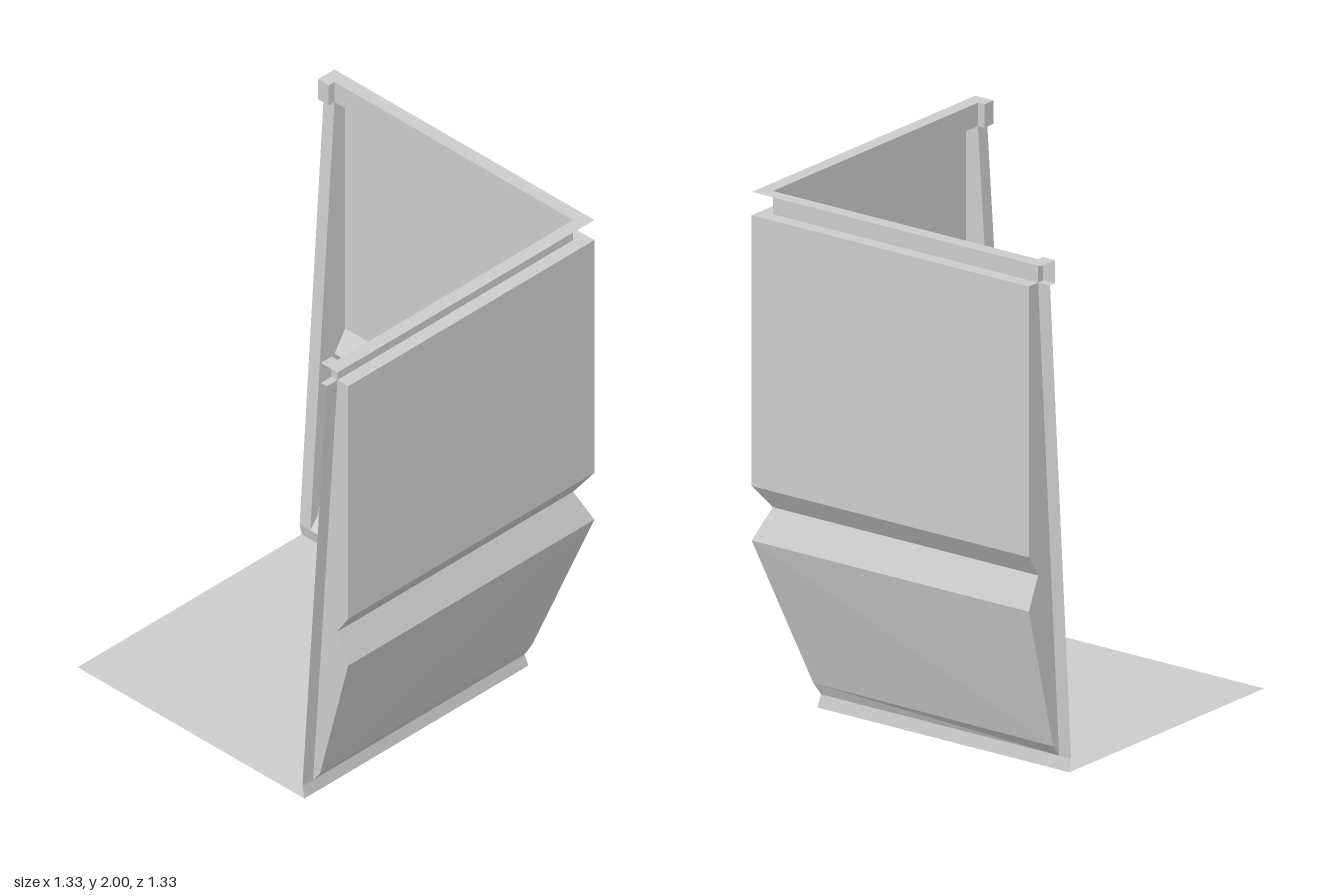
import * as THREE from 'three';

const END = -0.665;   // free end of each wing
const STOP = -0.61;   // where the panel ends and the end post begins

// Panel section, bottom to top: [offset at free end, height, offset at corner]
const panelSection = [
  [0.485, 0.05, 0.485], [0.52, 0.095, 0.505], [0.665, 0.655, 0.665],
  [0.61, 0.78, 0.61], [0.665, 0.865, 0.665], [0.665, 1.91, 0.665], [0.61, 1.91, 0.61],
];
const upstandSection = [[0.61, 1.91, 0.61], [0.61, 2, 0.61]];
const flangeSection = [[0.61, 2, 0.61], [0.665, 2, 0.665]];
const lipSection = [[0.495, 0, 0.495], [0.485, 0.05, 0.485]];
const postSection = [[0.485, 0.05], [0.61, 1.91], [0.58, 1.91], [0.58, 2], [0.665, 2]];

export function createModel() {
  const group = new THREE.Group();
  const grey = new THREE.MeshStandardMaterial({ color: 0xcccccc, side: THREE.DoubleSide });
  grey.name = 'plain grey';

  // Flat-shaded mesh from triangles; the other wing swaps x and z
  const addMesh = (name, tris, swap, parent) => {
    const pos = [];
    for (const t of tris) {
      const pts = swap ? [t[0], t[2], t[1]] : t;
      for (const [x, y, z] of pts) pos.push(...(swap ? [z, y, x] : [x, y, z]));
    }
    const geo = new THREE.BufferGeometry();
    geo.setAttribute('position', new THREE.Float32BufferAttribute(pos, 3));
    geo.computeVertexNormals();
    const mesh = new THREE.Mesh(geo, grey);
    mesh.name = name;
    parent.add(mesh);
  };

  // Sheet running from a free end to the mitred corner
  const mitredSheet = (section, zStart) => {
    const tris = [];
    for (let i = 0; i + 1 < section.length; i++) {
      const [e0, y0, c0] = section[i], [e1, y1, c1] = section[i + 1];
      const a = [e0, y0, zStart], b = [e1, y1, zStart], c = [c1, y1, c1], d = [c0, y0, c0];
      tris.push([a, b, c], [a, c, d]);
    }
    return tris;
  };

  // Short straight sheet between two z positions
  const straightSheet = (section, z0, z1) => {
    const tris = [];
    for (let i = 0; i + 1 < section.length; i++) {
      const [x0, y0] = section[i], [x1, y1] = section[i + 1];
      const a = [x0, y0, z0], b = [x1, y1, z0], c = [x1, y1, z1], d = [x0, y0, z1];
      tris.push([a, b, c], [a, c, d]);
    }
    return tris;
  };

  // Flat closure facing the free end
  const cap = (outline, z) => {
    const pts = outline.map(([x, y]) => new THREE.Vector2(x, y));
    return THREE.ShapeUtils.triangulateShape(pts, [])
      .map(([a, b, c]) => [a, c, b].map((i) => [pts[i].x, pts[i].y, z]));
  };

  for (const swap of [false, true]) {
    const wing = new THREE.Group();
    wing.name = swap ? 'frontWing' : 'leftWing';
    addMesh('panel', mitredSheet(panelSection, STOP), swap, wing);
    addMesh('topUpstand', mitredSheet(upstandSection, STOP), swap, wing);
    addMesh('topFlange', mitredSheet(flangeSection, STOP), swap, wing);
    addMesh('baseLip', mitredSheet(lipSection, END), swap, wing);
    addMesh('endPost', straightSheet(postSection, END, STOP), swap, wing);
    addMesh('panelEndCap', cap(panelSection, STOP), swap, wing);
    addMesh('upstandEndCap', cap([[0.58, 1.91], [0.61, 1.91], [0.61, 2], [0.58, 2]], STOP), swap, wing);
    group.add(wing);
  }

  // Square floor sheet
  const floor = new THREE.Mesh(new THREE.PlaneGeometry(1.16, 1.16), grey);
  floor.name = 'floor';
  floor.rotation.x = -Math.PI / 2;
  floor.position.set(-0.085, 0, -0.085);
  group.add(floor);
  return group;
}
